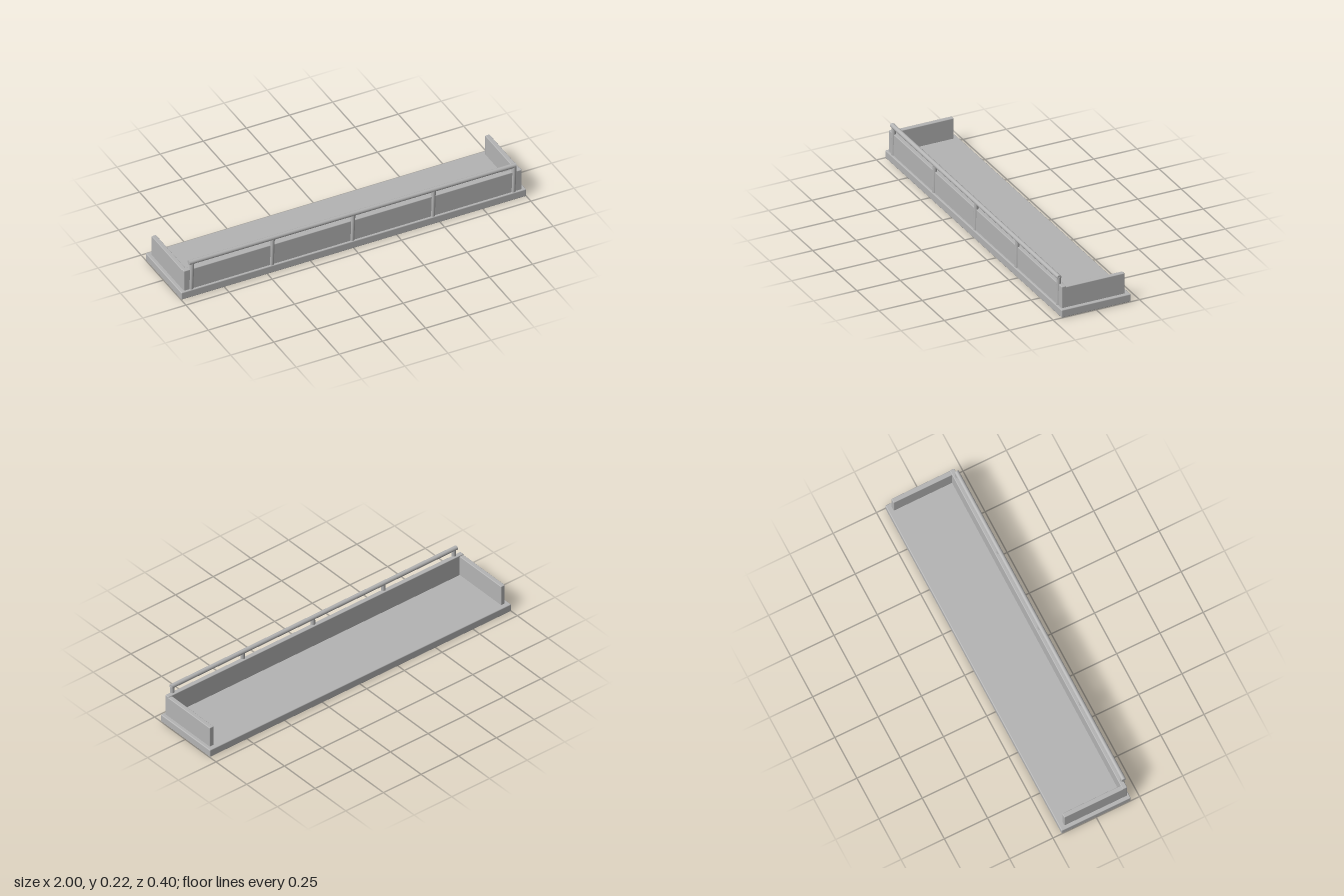
import * as THREE from 'three';
import { RoundedBoxGeometry } from 'three/addons/geometries/RoundedBoxGeometry.js';

export function createModel() {
  const group = new THREE.Group();
  const concrete = new THREE.MeshStandardMaterial({ color: 0xb4b4b4 });
  concrete.name = 'concrete grey';

  const add = (name, geometry) => {
    const mesh = new THREE.Mesh(geometry, concrete);
    mesh.name = name;
    group.add(mesh);
    return mesh;
  };

  // Softly rounded block given by its lower and upper corners
  const block = (name, [x0, y0, z0], [x1, y1, z1], radius) => {
    const box = new RoundedBoxGeometry(x1 - x0, y1 - y0, z1 - z0, 2, radius);
    add(name, box).position.set((x0 + x1) / 2, (y0 + y1) / 2, (z0 + z1) / 2);
  };

  // Round bar between two points
  const bar = (name, from, to, radius) => {
    const a = new THREE.Vector3(...from);
    const b = new THREE.Vector3(...to);
    const dir = b.clone().sub(a);
    const mesh = add(name, new THREE.CylinderGeometry(radius, radius, dir.length(), 20));
    mesh.position.copy(a).add(b).multiplyScalar(0.5);
    mesh.quaternion.setFromUnitVectors(new THREE.Vector3(0, 1, 0), dir.normalize());
  };

  // Floor slab and low parapet, open at the back
  block('floorSlab', [-1, 0, -0.2], [1, 0.045, 0.2], 0.005);
  block('frontWall', [-0.98, 0.04, 0.163], [0.98, 0.168, 0.189], 0.004);
  block('leftWall', [0.954, 0.04, -0.174], [0.98, 0.163, 0.174], 0.004);
  block('rightWall', [-0.98, 0.04, -0.174], [-0.954, 0.163, 0.174], 0.004);

  // Handrail, dipping very slightly to the left end
  bar('handrail', [-0.95, 0.21, 0.185], [0.945, 0.206, 0.185], 0.0125);

  // Five evenly spaced posts, leaning a touch
  for (let i = -2; i <= 2; i++) {
    const x = i * 0.467;
    bar('railPost', [x - 0.003, 0.043, 0.185], [x + 0.003, 0.206, 0.185], 0.012);
  }

  return group;
}
